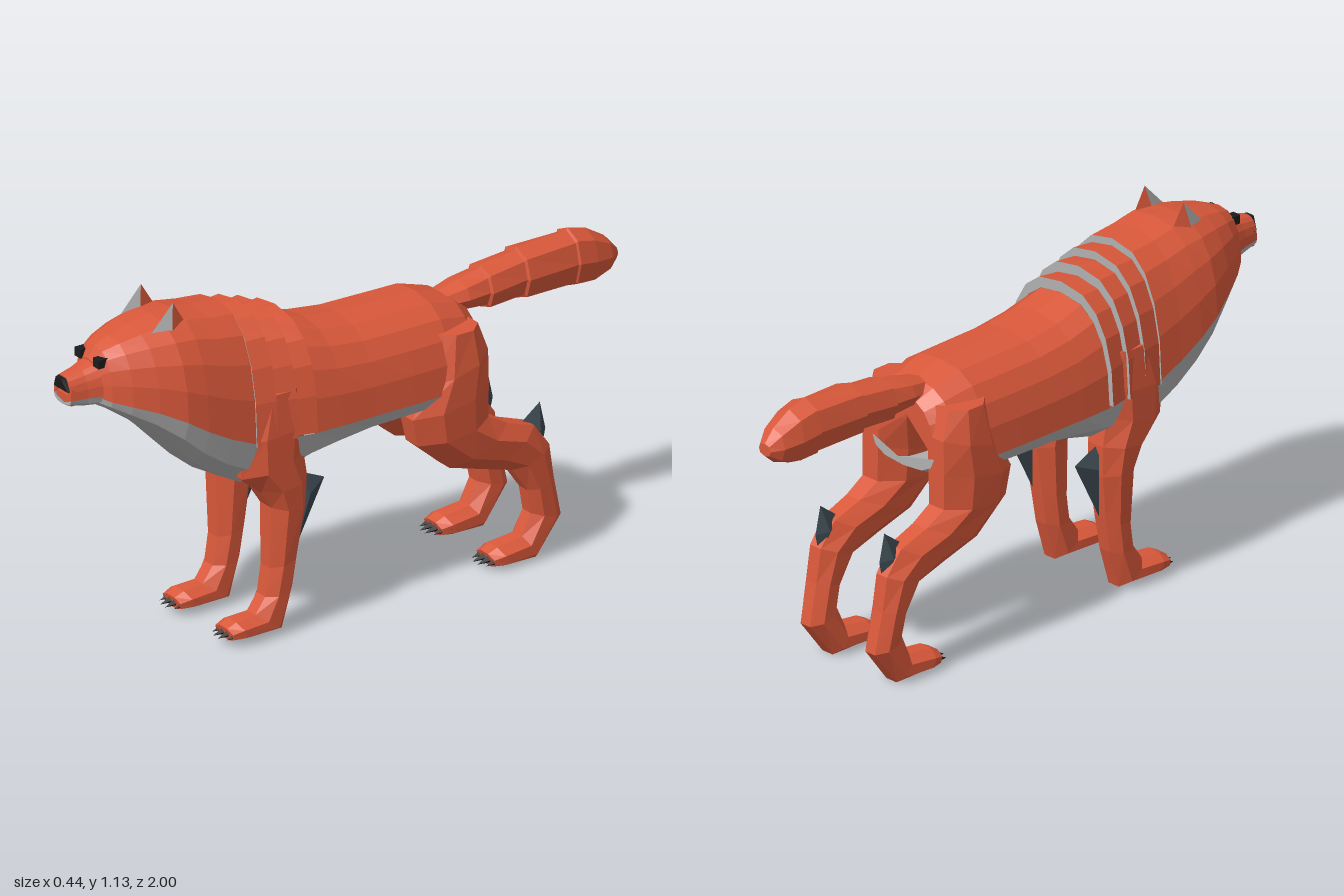
import * as THREE from 'three';
import { ConvexGeometry } from 'three/addons/geometries/ConvexGeometry.js';

const paint = (color) => new THREE.MeshStandardMaterial({ color, flatShading: true, side: THREE.DoubleSide });
const V = (x, y, z) => new THREE.Vector3(x, y, z);

// Arc of a rounded cross-section at z: upper half (top) or lower half (bot) around the split height.
function arc([z, top, bot, hw, split], from, to, n, e = 0.75) {
  const pts = [];
  for (let i = 0; i <= n; i++) {
    const a = from + ((to - from) * i) / n;
    const c = Math.cos(a), s = Math.sin(a);
    const h = s > 0 ? top - split : split - bot;
    pts.push(V(Math.sign(c) * hw * Math.abs(c) ** e, split + Math.sign(s) * h * Math.abs(s) ** 0.9, z));
  }
  return pts;
}
const upper = (r) => arc(r, 0, Math.PI, 10);
const lower = (r) => arc(r, Math.PI, Math.PI * 2, 6);
const full = (r) => arc(r, 0, Math.PI * 2, 8, 0.85);

// Skin between successive rings, with optional end caps.
function loft(rings, capStart = false, capEnd = false) {
  const out = [];
  const tri = (...p) => p.forEach((v) => out.push(v.x, v.y, v.z));
  for (let i = 0; i < rings.length - 1; i++) {
    const p = rings[i], q = rings[i + 1];
    for (let j = 0; j < p.length - 1; j++) {
      tri(p[j], p[j + 1], q[j + 1]);
      tri(p[j], q[j + 1], q[j]);
    }
  }
  const cap = (r, flip) => {
    const mid = r.slice(1).reduce((m, v) => m.add(v), V(0, 0, 0)).divideScalar(r.length - 1);
    for (let j = 0; j < r.length - 1; j++) flip ? tri(mid, r[j + 1], r[j]) : tri(mid, r[j], r[j + 1]);
  };
  if (capStart) cap(rings[0], true);
  if (capEnd) cap(rings[rings.length - 1], false);
  const g = new THREE.BufferGeometry();
  g.setAttribute('position', new THREE.Float32BufferAttribute(out, 3));
  g.computeVertexNormals();
  return g;
}

// Leg ring from its front and back edge [z, y], centre x and half width.
function legRing([fz, fy, bz, by, xc, hw], side) {
  const pts = [];
  for (let i = 0; i <= 8; i++) {
    const a = (i / 8) * Math.PI * 2 + Math.PI / 8;
    const c = Math.cos(a) * 1.08, s = Math.sin(a) * 1.08;
    pts.push(V(side * xc + hw * c, (fy + by) / 2 + ((fy - by) / 2) * s, (fz + bz) / 2 + ((fz - bz) / 2) * s));
  }
  return pts;
}

export function createModel() {
  const model = new THREE.Group();
  const fur = paint(0xd9583a), pale = paint(0xb0b0b0), dark = paint(0x1c1c1e), slate = paint(0x3c4850);
  const add = (name, geometry, material, parent = model) => {
    const mesh = new THREE.Mesh(geometry, material);
    mesh.name = name;
    parent.add(mesh);
    return mesh;
  };

  // Torso: rows are z, top, bottom, half width, height of the fur line
  const torso = [
    [-0.43, 0.83, 0.6, 0.13, 0.66], [-0.38, 0.868, 0.58, 0.18, 0.65], [-0.28, 0.898, 0.57, 0.205, 0.64],
    [-0.14, 0.9, 0.565, 0.208, 0.64], [0, 0.903, 0.56, 0.208, 0.64], [0.12, 0.92, 0.535, 0.208, 0.64],
    [0.22, 0.95, 0.505, 0.205, 0.64],
  ];
  const head = [
    [0.43, 1.057, 0.485, 0.205, 0.66], [0.52, 1.065, 0.535, 0.205, 0.7], [0.6, 1.078, 0.6, 0.205, 0.745],
    [0.67, 1.075, 0.675, 0.2, 0.79], [0.75, 1.06, 0.75, 0.168, 0.83], [0.82, 1.042, 0.8, 0.132, 0.855],
    [0.87, 1.022, 0.835, 0.095, 0.87], [0.892, 0.985, 0.845, 0.06, 0.878],
  ];
  add('back', loft(torso.map(upper), true), fur);
  add('belly', loft([...torso, [0.32, 1, 0.485, 0.205, 0.65], head[0]].map(lower), true), pale);
  add('head', loft(head.map(upper), false, true), fur);
  add('throat', loft(head.map(lower), false, true), pale);

  // Overlapping mane collars, each flaring towards the back
  const collars = [[0.22, 0.95, 0.985, 0.222], [0.29, 0.98, 1.013, 0.222], [0.36, 1.01, 1.037, 0.218], [0.43, 1.033, 1.057, 0.21]];
  collars.forEach(([z, inner, outer, hw], i) => {
    const inRing = [z, inner, 0.5, 0.205, 0.65], outRing = [z, outer, 0.5, hw, 0.65];
    add('maneStep', loft([inRing, outRing].map(upper)), pale);
    if (i < 3) add('maneCollar', loft([outRing, [collars[i + 1][0], collars[i + 1][1], 0.5, 0.205, 0.65]].map(upper)), fur);
  });

  // Muzzle, jaw, nose and eyes
  const muzzle = [[0.87, 0.985, 0.845, 0.075, 0.885], [0.93, 0.967, 0.85, 0.055, 0.885], [0.985, 0.955, 0.862, 0.044, 0.885]];
  add('muzzle', loft(muzzle.map(upper), true, true), fur);
  add('jaw', loft(muzzle.map(lower), true, true), pale);
  add('lip', new THREE.BoxGeometry(0.075, 0.03, 0.03), fur).position.set(0, 0.88, 0.965);
  add('nose', new ConvexGeometry([
    V(-0.045, 0.912, 0.975), V(0.045, 0.912, 0.975), V(-0.025, 0.95, 0.965), V(0.025, 0.95, 0.965),
    V(-0.035, 0.912, 0.992), V(0.035, 0.912, 0.992), V(-0.014, 0.95, 1), V(0.014, 0.95, 1),
  ]), dark);

  // Bushy tail, drawn from tip to root
  const tail = [
    [-1, 0.855, 0.815, 0.025], [-0.965, 0.895, 0.785, 0.05], [-0.9, 0.935, 0.762, 0.066], [-0.835, 0.953, 0.765, 0.072],
    [-0.83, 0.945, 0.77, 0.066], [-0.65, 0.94, 0.775, 0.076], [-0.645, 0.93, 0.785, 0.066], [-0.52, 0.915, 0.78, 0.072],
    [-0.515, 0.905, 0.79, 0.062], [-0.44, 0.89, 0.8, 0.065], [-0.34, 0.865, 0.81, 0.045],
  ].map(([z, t, b, w]) => [z, t, b, w, (t + b) / 2]);
  add('tail', loft(tail.map(full), true, true), fur);

  // Leg rows: front z, y, back z, y, centre x, half width
  const frontLeg = [
    [0.42, 0.8, 0.24, 0.8, 0.14, 0.065], [0.47, 0.66, 0.23, 0.68, 0.14, 0.078], [0.46, 0.54, 0.24, 0.59, 0.14, 0.078],
    [0.39, 0.48, 0.225, 0.5, 0.14, 0.077], [0.352, 0.42, 0.228, 0.4, 0.14, 0.07], [0.35, 0.22, 0.25, 0.25, 0.135, 0.056],
    [0.365, 0.13, 0.268, 0.14, 0.135, 0.052], [0.4, 0.08, 0.305, 0.015, 0.135, 0.052], [0.47, 0.075, 0.44, 0.015, 0.135, 0.056],
    [0.5, 0.06, 0.49, 0.02, 0.135, 0.046],
  ];
  const hindLeg = [
    [-0.25, 0.82, -0.4, 0.82, 0.13, 0.07], [-0.21, 0.67, -0.43, 0.73, 0.135, 0.083], [-0.155, 0.57, -0.43, 0.62, 0.14, 0.08],
    [-0.175, 0.48, -0.43, 0.51, 0.14, 0.076], [-0.29, 0.38, -0.5, 0.47, 0.14, 0.068], [-0.42, 0.34, -0.6, 0.435, 0.14, 0.06],
    [-0.52, 0.31, -0.655, 0.36, 0.14, 0.054], [-0.575, 0.23, -0.672, 0.25, 0.14, 0.05], [-0.59, 0.15, -0.7, 0.12, 0.137, 0.048],
    [-0.56, 0.082, -0.61, 0.003, 0.135, 0.052], [-0.47, 0.07, -0.5, 0.005, 0.135, 0.057], [-0.44, 0.055, -0.455, 0.01, 0.135, 0.046],
  ];

  for (const side of [1, -1]) {
    const tag = side > 0 ? 'left' : 'right';
    add(tag + 'Eye', new THREE.BoxGeometry(0.03, 0.028, 0.04), dark).position.set(side * 0.047, 0.987, 0.878);

    // Ear: fur behind, pale inside in front
    const at = (x, y, z) => V(side * x, y, z);
    const tip = at(0.082, 1.13, 0.645), inner = at(0.058, 1.03, 0.665), outer = at(0.107, 1.02, 0.665);
    add(tag + 'Ear', new ConvexGeometry([tip, inner, outer, at(0.08, 1.04, 0.59)]), fur);
    add(tag + 'InnerEar', new ConvexGeometry([tip, inner, outer, at(0.08, 1.035, 0.735)]), pale);

    // Legs with claws at the end of each paw
    for (const [name, rows, clawZ, clawY] of [['FrontLeg', frontLeg, 0.495, 0.04], ['HindLeg', hindLeg, -0.44, 0.033]]) {
      const leg = new THREE.Group();
      leg.name = tag + name;
      model.add(leg);
      add('limb', loft(rows.map((r) => legRing(r, side)), true, true), fur, leg);
      for (let i = 0; i < 4; i++) {
        const claw = add('claw', new THREE.ConeGeometry(0.018, 0.06, 4).rotateX(Math.PI / 2 + 0.2), dark, leg);
        claw.position.set(side * 0.135 + (i - 1.5) * 0.025, clawY, clawZ + (i % 3 ? 0.005 : -0.01));
      }
    }

    // Blades behind the elbow and the hock
    const blade = (name, x, w, spine, wing) =>
      add(name, new ConvexGeometry([...spine.map(([z, y]) => at(x, y, z)), at(x - w, wing[1], wing[0]), at(x + w, wing[1], wing[0])]), slate);
    blade(tag + 'ElbowBlade', 0.14, 0.03, [[0.24, 0.5], [0.14, 0.455], [0.24, 0.26]], [0.21, 0.43]);
    blade(tag + 'HockBlade', 0.135, 0.027, [[-0.56, 0.43], [-0.64, 0.49], [-0.66, 0.4], [-0.64, 0.31]], [-0.625, 0.41]);
  }
  return model;
}
